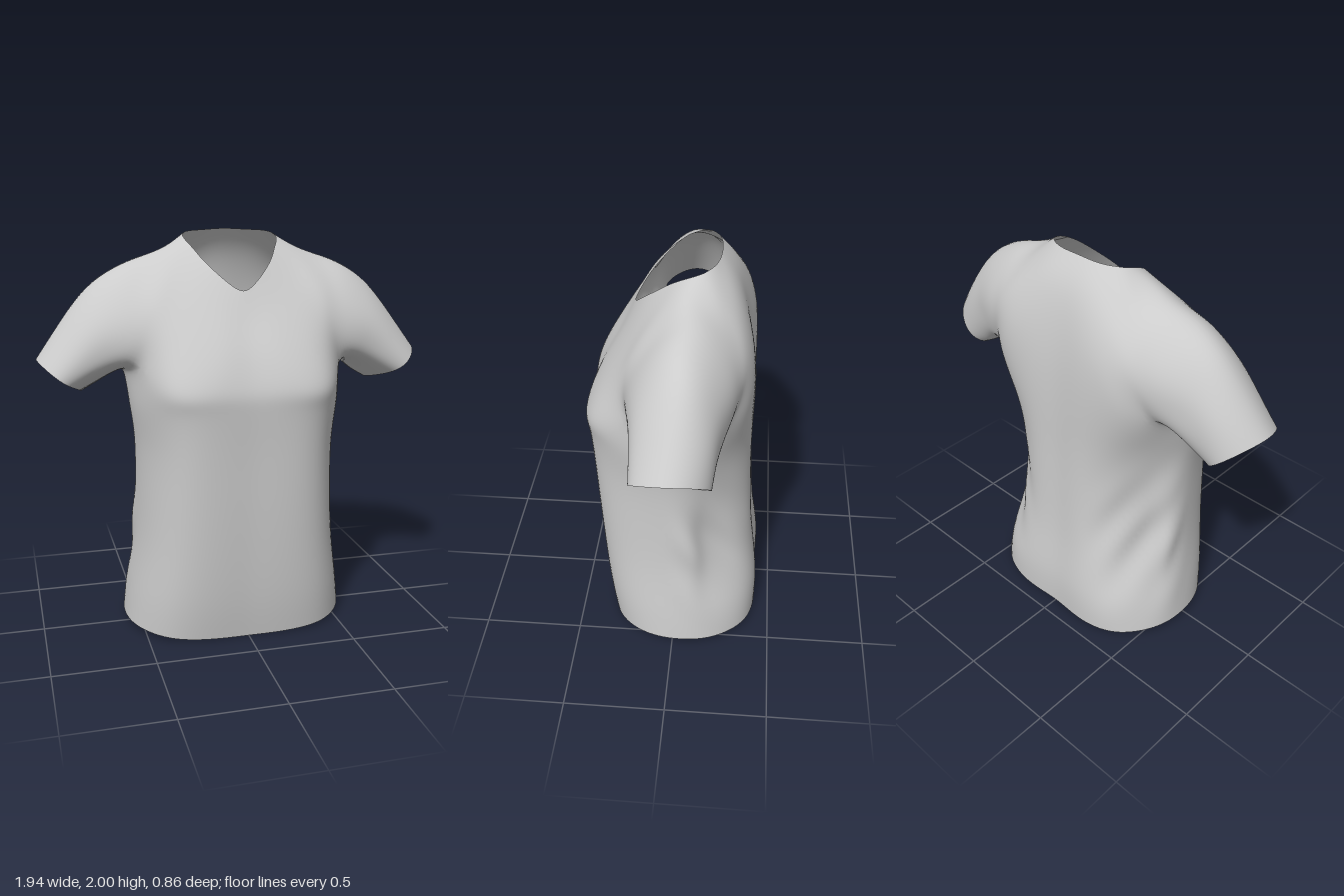
import * as THREE from 'three';

// Smooths a quad cage once (Catmull-Clark with open borders); old vertices keep their index.
function subdivide({ verts, faces }) {
  const out = verts.map(() => null);
  const info = verts.map(() => ({ n: 0, face: new THREE.Vector3(), mids: [], rim: [] }));
  const edges = new Map();
  const centres = faces.map((f) => {
    const c = new THREE.Vector3();
    f.forEach((i) => c.addScaledVector(verts[i], 0.25));
    out.push(c);
    f.forEach((a, k) => {
      const b = f[(k + 1) % 4], key = Math.min(a, b) + '_' + Math.max(a, b);
      if (!edges.has(key)) edges.set(key, { a, b, near: [] });
      edges.get(key).near.push(c);
      info[a].n++;
      info[a].face.add(c);
    });
    return out.length - 1;
  });
  for (const e of edges.values()) {
    const mid = verts[e.a].clone().add(verts[e.b]).multiplyScalar(0.5);
    const p = mid.clone();
    if (e.near.length === 2) p.multiplyScalar(0.5).addScaledVector(e.near[0], 0.25).addScaledVector(e.near[1], 0.25);
    e.index = out.push(p) - 1;
    for (const i of [e.a, e.b]) {
      info[i].mids.push(mid);
      if (e.near.length === 1) info[i].rim.push(mid);
    }
  }
  verts.forEach((v, i) => {
    const { n, face, mids, rim } = info[i];
    if (rim.length) {
      out[i] = v.clone().multiplyScalar(0.5).addScaledVector(rim[0], 0.25).addScaledVector(rim[1], 0.25);
    } else {
      out[i] = v.clone().multiplyScalar((n - 3) / n).addScaledVector(face, 1 / (n * n));
      mids.forEach((m) => out[i].addScaledVector(m, 2 / (n * n)));
    }
  });
  const edgeIndex = (a, b) => edges.get(Math.min(a, b) + '_' + Math.max(a, b)).index;
  const quads = [];
  faces.forEach((f, j) => f.forEach((a, k) => {
    quads.push([a, edgeIndex(a, f[(k + 1) % 4]), centres[j], edgeIndex(f[(k + 3) % 4], a)]);
  }));
  return { verts: out, faces: quads };
}

function refine(cage, levels) {
  let m = cage;
  for (let i = 0; i < levels; i++) m = subdivide(m);
  return m;
}

// Torso ring from front centre around the side to back centre; taper cuts the back corner
function torsoRing(y, w, front, back, sideZ, taper, lift = 0) {
  const ring = [
    [0, front], [0.33 * w, front * 1.01], [0.69 * w, front * 0.89], [0.935 * w, front * 0.43], [w, sideZ],
    [0.94 * w - 0.77 * taper, back * 0.5 + 0.64 * taper], [0.7 * w - 0.77 * taper, back * 0.88 + 0.64 * taper],
    [0.34 * w - 0.3 * taper, back + 0.15 * taper], [0, back * 0.975],
  ];
  return ring.map(([x, z]) => [x, y + lift * (x / w) ** 2, z]);
}

// Chest ring halves, armhole and armpit: the seam where torso, yoke and sleeve meet
const chestFront = [[0, 1.29, 0.42], [0.18, 1.29, 0.43], [0.37, 1.3, 0.385], [0.495, 1.375, 0.195]];
const chestBack = [[0.505, 1.375, -0.245], [0.375, 1.4, -0.343], [0.18, 1.4, -0.37], [0, 1.4, -0.357]];
const armhole = [[0.52, 1.52, 0.205], [0.55, 1.68, 0.135], [0.585, 1.825, -0.05], [0.56, 1.7, -0.232], [0.535, 1.54, -0.285]];
const armpit = [0.552, 1.328, -0.03];

const torso = [
  torsoRing(0, 0.578, 0.33, -0.425, -0.04, 0, 0.035),
  torsoRing(0.2, 0.557, 0.36, -0.425, -0.06, 0.015, 0.02),
  torsoRing(0.45, 0.525, 0.383, -0.397, -0.07, 0.05),
  torsoRing(0.72, 0.508, 0.4, -0.38, -0.05, 0.068),
  torsoRing(0.98, 0.507, 0.413, -0.372, -0.01, 0.055),
  torsoRing(1.18, 0.53, 0.427, -0.371, -0.01, 0.03),
  [...chestFront, armpit, ...chestBack],
];

// Yoke, from chest and armholes up to the V neckline
const yoke = [
  [...chestFront, ...armhole, ...chestBack],
  [[0, 1.44, 0.36], [0.14, 1.45, 0.363], [0.29, 1.5, 0.315], [0.39, 1.56, 0.25], [0.42, 1.67, 0.185],
    [0.45, 1.78, 0.085], [0.465, 1.87, -0.06], [0.455, 1.805, -0.2], [0.43, 1.7, -0.288], [0.39, 1.64, -0.328],
    [0.29, 1.62, -0.352], [0.15, 1.63, -0.348], [0, 1.63, -0.336]],
  [[0, 1.58, 0.283], [0.1, 1.62, 0.263], [0.2, 1.69, 0.21], [0.27, 1.755, 0.152], [0.31, 1.825, 0.087],
    [0.335, 1.88, 0.02], [0.35, 1.91, -0.06], [0.34, 1.89, -0.15], [0.31, 1.868, -0.21], [0.26, 1.855, -0.25],
    [0.19, 1.855, -0.273], [0.1, 1.86, -0.28], [0, 1.86, -0.28]],
  [[0, 1.725, 0.21], [0.06, 1.755, 0.19], [0.12, 1.81, 0.147], [0.17, 1.865, 0.092], [0.2, 1.91, 0.04],
    [0.225, 1.945, -0.01], [0.235, 1.97, -0.065], [0.225, 1.983, -0.11], [0.2, 1.99, -0.14], [0.16, 1.993, -0.165],
    [0.11, 1.995, -0.18], [0.06, 1.998, -0.188], [0, 2, -0.19]],
];

// Sleeve rings, from the cuff in to the armhole; the last point is the underside
const sleeve = [
  [[0.795, 1.27, 0.1], [0.855, 1.31, 0.155], [0.92, 1.36, 0.12], [0.97, 1.4, -0.01],
    [0.93, 1.37, -0.14], [0.84, 1.29, -0.2], [0.765, 1.225, -0.16], [0.757, 1.23, -0.05]],
  [[0.7, 1.325, 0.11], [0.75, 1.39, 0.162], [0.81, 1.48, 0.125], [0.86, 1.555, -0.03],
    [0.825, 1.5, -0.17], [0.76, 1.385, -0.215], [0.69, 1.285, -0.185], [0.67, 1.275, -0.06]],
  [[0.605, 1.37, 0.135], [0.645, 1.46, 0.178], [0.69, 1.6, 0.13], [0.725, 1.725, -0.05],
    [0.7, 1.62, -0.195], [0.66, 1.48, -0.24], [0.61, 1.35, -0.215], [0.607, 1.322, -0.04]],
  [chestFront[3], ...armhole, chestBack[0], armpit],
].map((ring) => [...ring, ring[0]]);

// Welds all panels and their mirror images into one cage
function buildCage() {
  const verts = [], faces = [], seen = new Map();
  const id = ([x, y, z], s) => {
    const p = [x === 0 ? 0 : x * s, y, z], key = p.map((n) => n.toFixed(4)).join();
    if (!seen.has(key)) seen.set(key, verts.push(new THREE.Vector3(...p)) - 1);
    return seen.get(key);
  };
  for (const s of [1, -1]) for (const rows of [torso, yoke, sleeve]) {
    for (let r = 0; r + 1 < rows.length; r++) for (let c = 0; c + 1 < rows[r].length; c++) {
      const q = [rows[r][c], rows[r][c + 1], rows[r + 1][c + 1], rows[r + 1][c]].map((p) => id(p, s));
      faces.push(s > 0 ? q : q.reverse());
    }
  }
  return { verts, faces };
}

// Slanted drape folds on the sides and lower back
function foldDepth({ x, y, z }) {
  const ax = Math.abs(x);
  const side = THREE.MathUtils.smoothstep(ax, 0.15, 0.36) * (1 - THREE.MathUtils.smoothstep(z, -0.12, 0.06));
  const height = Math.exp(-(((y - 0.58) / 0.28) ** 2));
  const wave = Math.sin(17 * (y - 1.3 * z - 0.5 * ax) + (x > 0 ? 0 : 1.3));
  return 0.01 * side * height * wave;
}

export function createModel() {
  // Adjust the cage so the smooth surface passes through the points
  const cage = buildCage();
  const target = cage.verts.map((v) => v.clone());
  for (let k = 0; k < 8; k++) {
    const fit = refine(cage, 2).verts;
    cage.verts.forEach((v, i) => v.add(target[i]).sub(fit[i]));
  }
  const { verts, faces } = refine(cage, 3);

  const geometry = new THREE.BufferGeometry().setFromPoints(verts);
  geometry.setIndex(faces.flatMap(([a, b, c, d]) => [a, b, c, a, c, d]));
  geometry.computeVertexNormals();
  const pos = geometry.attributes.position, normal = geometry.attributes.normal;
  verts.forEach((v, i) => {
    v.addScaledVector(new THREE.Vector3().fromBufferAttribute(normal, i), foldDepth(v));
    pos.setXYZ(i, v.x, v.y, v.z);
  });
  geometry.computeVertexNormals();

  const shirt = new THREE.Mesh(geometry, new THREE.MeshStandardMaterial({ color: 0xcccccc, side: THREE.DoubleSide }));
  shirt.name = 'shirt';
  const group = new THREE.Group();
  group.name = 'vNeckShirt';
  group.add(shirt);
  return group;
}
